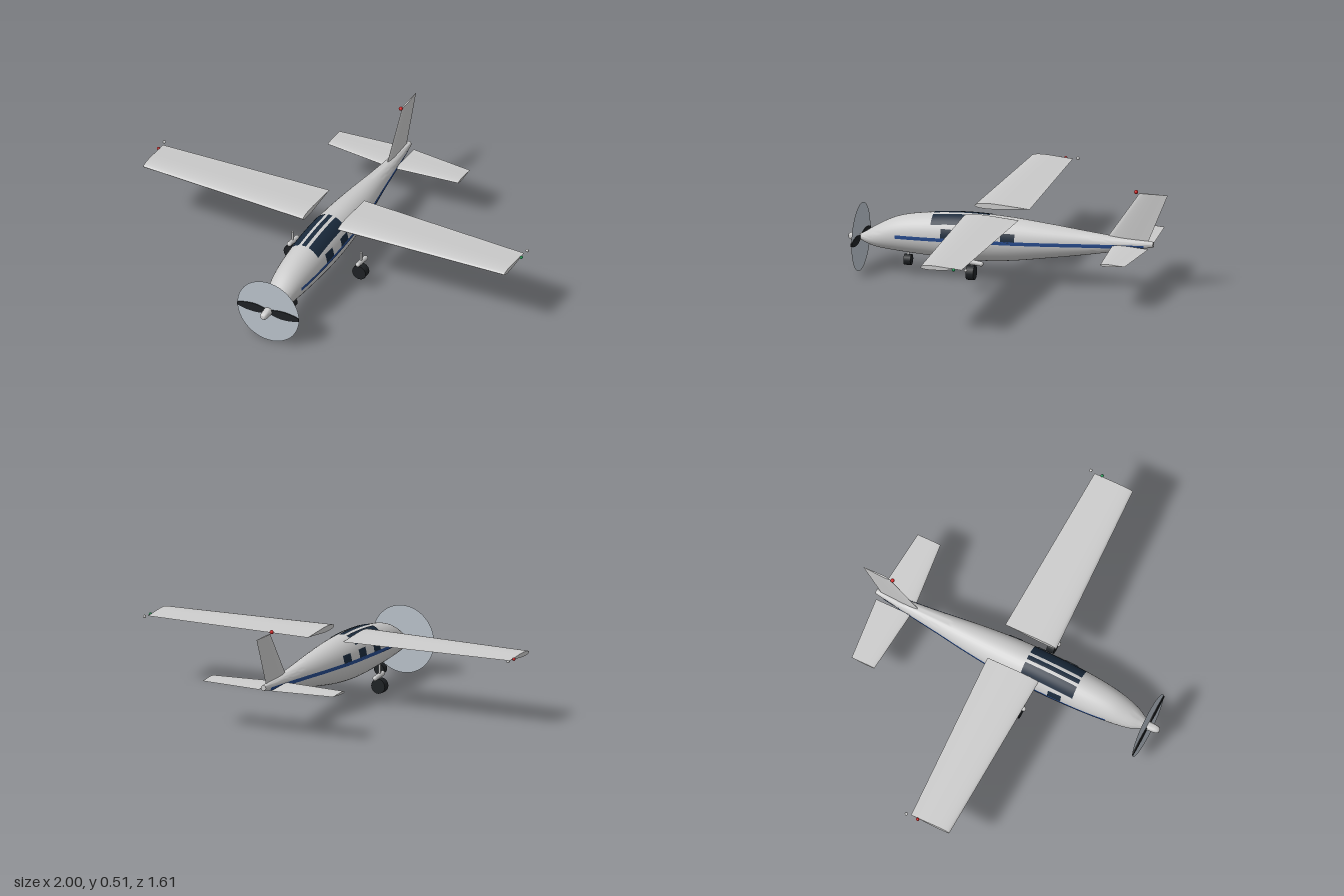
import * as THREE from 'three';
import { toCreasedNormals } from 'three/addons/utils/BufferGeometryUtils.js';

const paint = (color, side = THREE.FrontSide) => new THREE.MeshStandardMaterial({ color, side });
const GREY = paint(0xcccccc);
const DARK = paint(0x1e2124);
const GLASS = paint(0x1a2a3c, THREE.DoubleSide);
const BLUE = paint(0x264a8c, THREE.DoubleSide);
const DISC = paint(0xb9c1ca, THREE.DoubleSide);

// Fuselage stations: z, bottom, top, half width
const STATIONS = [
  [-0.735, 0.237, 0.265, 0.013], [-0.6, 0.212, 0.273, 0.027], [-0.4, 0.175, 0.292, 0.05],
  [-0.2, 0.142, 0.313, 0.076], [0, 0.113, 0.331, 0.094], [0.2, 0.102, 0.337, 0.098],
  [0.4, 0.111, 0.322, 0.092], [0.55, 0.121, 0.292, 0.078], [0.66, 0.133, 0.237, 0.055],
  [0.72, 0.152, 0.197, 0.025], [0.735, 0.16, 0.19, 0.018],
];

// Smoothly interpolated ellipse of the fuselage at z
function station(z) {
  const S = STATIONS, last = S.length - 1;
  let i = 0;
  while (i < last - 1 && z > S[i + 1][0]) i++;
  const a = S[i], b = S[i + 1], p = S[Math.max(i - 1, 0)], n = S[Math.min(i + 2, last)];
  const h = b[0] - a[0], t = (z - a[0]) / h, t2 = t * t, t3 = t2 * t;
  const [bottom, top, rx] = [1, 2, 3].map((k) => {
    const m0 = (b[k] - p[k]) / (b[0] - p[0]), m1 = (n[k] - a[k]) / (n[0] - a[0]);
    return (2 * t3 - 3 * t2 + 1) * a[k] + (t3 - 2 * t2 + t) * h * m0
      + (3 * t2 - 2 * t3) * b[k] + (t3 - t2) * h * m1;
  });
  return { cy: (bottom + top) / 2, ry: (top - bottom) / 2, rx };
}

function skinPoint(z, angle, lift = 0) {
  const { cy, ry, rx } = station(z);
  return new THREE.Vector3((rx + lift) * Math.cos(angle), cy + (ry + lift) * Math.sin(angle), z);
}

// Skin over a row of closed loops, capped at both ends
function loft(loops, crease = 0.7) {
  const n = loops[0].length, pos = [], idx = [];
  loops.forEach((loop) => loop.forEach((p) => pos.push(p.x, p.y, p.z)));
  for (let i = 0; i < loops.length - 1; i++) {
    for (let j = 0; j < n; j++) {
      const k = (j + 1) % n, a = i * n + j, b = i * n + k;
      idx.push(a, b, b + n, a, b + n, a + n);
    }
  }
  const end = (loops.length - 1) * n;
  for (let j = 1; j < n - 1; j++) {
    idx.push(0, j + 1, j, end, end + j, end + j + 1);
  }
  const geo = new THREE.BufferGeometry();
  geo.setAttribute('position', new THREE.Float32BufferAttribute(pos, 3));
  geo.setIndex(idx);
  return toCreasedNormals(geo, crease);
}

// Teardrop section panel spanning x; each end is [x, leading z, trailing z, thickness]
function foil(...ends) {
  return loft(ends.map(([x, lead, trail, thick]) => Array.from({ length: 28 }, (_, j) => {
    const t = (j / 28) * Math.PI * 2, s = Math.sin(t);
    return new THREE.Vector3(x, thick / 2.6 * Math.cos(t) * (1 + s),
      (lead + trail) / 2 + (lead - trail) / 2 * s);
  })), 0.9);
}

// Patch lying just over the fuselage skin; angleAt gives the angle for z and v
function skinPatch(z0, z1, nz, angleAt) {
  const geo = new THREE.PlaneGeometry(1, 1, nz, 6), pos = geo.attributes.position;
  for (let i = 0; i < pos.count; i++) {
    const z = THREE.MathUtils.lerp(z0, z1, pos.getX(i) + 0.5);
    const p = skinPoint(z, angleAt(z, pos.getY(i) + 0.5), 0.0025);
    pos.setXYZ(i, p.x, p.y, p.z);
  }
  geo.computeVertexNormals();
  return geo;
}

// Angle on the skin for a height y, on the side given by its sign
function angleForY(z, y, side) {
  const { cy, ry } = station(z);
  const a = Math.asin(THREE.MathUtils.clamp((y - cy) / ry, -1, 1));
  return side > 0 ? a : Math.PI - a;
}

export function createModel() {
  const model = new THREE.Group();
  model.name = 'airplane';
  const add = (name, geo, mat, x = 0, y = 0, z = 0) => {
    const mesh = new THREE.Mesh(geo, mat);
    mesh.name = name;
    mesh.position.set(x, y, z);
    model.add(mesh);
    return mesh;
  };

  // Fuselage
  const loops = [];
  for (let i = 0; i <= 60; i++) {
    const z = THREE.MathUtils.lerp(-0.735, 0.735, i / 60);
    loops.push(Array.from({ length: 36 }, (_, j) => skinPoint(z, (j / 36) * Math.PI * 2)));
  }
  add('fuselage', loft(loops), GREY);

  // Roof glazing: two wide panes and a narrow middle one
  for (const [x0, x1] of [[-0.076, -0.026], [-0.011, 0.011], [0.026, 0.076]]) {
    add('roofWindow', skinPatch(0.085, 0.365, 14, (z, v) =>
      Math.acos(THREE.MathUtils.lerp(x0, x1, v) / station(z).rx)), GLASS);
  }

  const wingRoot = [0.095, 0.192, -0.085, 0.028], wingTip = [0.985, 0.157, -0.05, 0.022];
  const tailRoot = [0.033, -0.535, -0.72, 0.014], tailTip = [0.355, -0.567, -0.69, 0.012];
  const mirrored = (root, tip, s) => (s > 0 ? foil(root, tip)
    : foil([-tip[0], ...tip.slice(1)], [-root[0], ...root.slice(1)]));

  for (const s of [1, -1]) {
    const side = s > 0 ? 'left' : 'right';

    // Wing, tailplane and tip lights
    add(side + 'Wing', mirrored(wingRoot, wingTip, s), GREY, 0, 0.348, 0);
    add(side + 'Tailplane', mirrored(tailRoot, tailTip, s), GREY, 0, 0.236, 0);
    const ball = new THREE.SphereGeometry(0.008, 12, 8);
    add(side + 'TipLight', ball, paint(s > 0 ? 0x1f9a55 : 0xcc2222), s * 0.99, 0.348, -0.012);
    add(side + 'RearLight', ball, GREY, s * 0.99, 0.35, -0.073);

    // Cabin windows and side stripe
    for (const z of [0.275, 0.125, -0.025]) {
      add(side + 'Window', skinPatch(z - 0.035, z + 0.035, 4, (zz, v) =>
        angleForY(zz, 0.225 + 0.045 * v, s)), GLASS);
    }
    add(side + 'Stripe', skinPatch(-0.69, 0.545, 50, (z, v) => {
      const mid = z > 0.2 ? 0.22 - (z - 0.2) * 0.032 : 0.22 + (0.2 - z) * 0.02;
      return angleForY(z, mid + (v - 0.5) * 0.017, s);
    }), BLUE);

    // Main gear: strut, fairing and wheel
    add(side + 'Strut', new THREE.CylinderGeometry(0.006, 0.006, 0.085, 12), GREY, s * 0.187, 0.16, 0.125);
    const fairing = add(side + 'Fairing', new THREE.CapsuleGeometry(0.012, 0.08, 6, 14), GREY, s * 0.187, 0.146, 0.118);
    fairing.rotation.x = Math.PI / 2 - 0.12;
    const wheel = add(side + 'Wheel', new THREE.CylinderGeometry(0.037, 0.037, 0.038, 20), DARK, s * 0.187, 0.095, 0.128);
    wheel.rotation.x = Math.PI / 2;
  }

  // Fin with its beacon
  add('fin', foil([0.25, -0.489, -0.703, 0.013], [0.505, -0.665, -0.807, 0.009]).rotateZ(Math.PI / 2), GREY);
  add('finBeacon', new THREE.SphereGeometry(0.01, 12, 8), paint(0xcc2222), 0, 0.51, -0.648);

  // Nose wheel
  add('noseWheel', new THREE.CylinderGeometry(0.027, 0.027, 0.035, 20), DARK, 0, 0.077, 0.498)
    .rotation.x = Math.PI / 2;
  add('noseStrut', new THREE.CylinderGeometry(0.006, 0.006, 0.05, 10), GREY, 0, 0.115, 0.498);

  // Propeller: spinner, two blades and the sweep disc
  const spinner = [[0, 0.8], [0.01, 0.797], [0.017, 0.788], [0.02, 0.772], [0.022, 0.735], [0, 0.735]]
    .map(([r, z]) => new THREE.Vector2(r, z)).reverse();
  add('spinner', toCreasedNormals(new THREE.LatheGeometry(spinner, 24).rotateX(Math.PI / 2), 0.7), GREY, 0, 0.173, 0);
  const outline = new THREE.Shape();
  outline.moveTo(0.01, -0.01);
  outline.bezierCurveTo(0.06, -0.03, 0.11, -0.026, 0.168, -0.006);
  outline.lineTo(0.168, 0.01);
  outline.bezierCurveTo(0.12, 0.026, 0.06, 0.028, 0.01, 0.01);
  const blade = new THREE.ExtrudeGeometry(outline, { depth: 0.006, bevelEnabled: false, curveSegments: 10 });
  for (const turn of [0, Math.PI]) {
    add('propellerBlade', blade, DARK, 0, 0.173, 0.734).rotation.z = turn;
  }
  add('propellerDisc', new THREE.CircleGeometry(0.168, 48), DISC, 0, 0.173, 0.736);

  return model;
}
